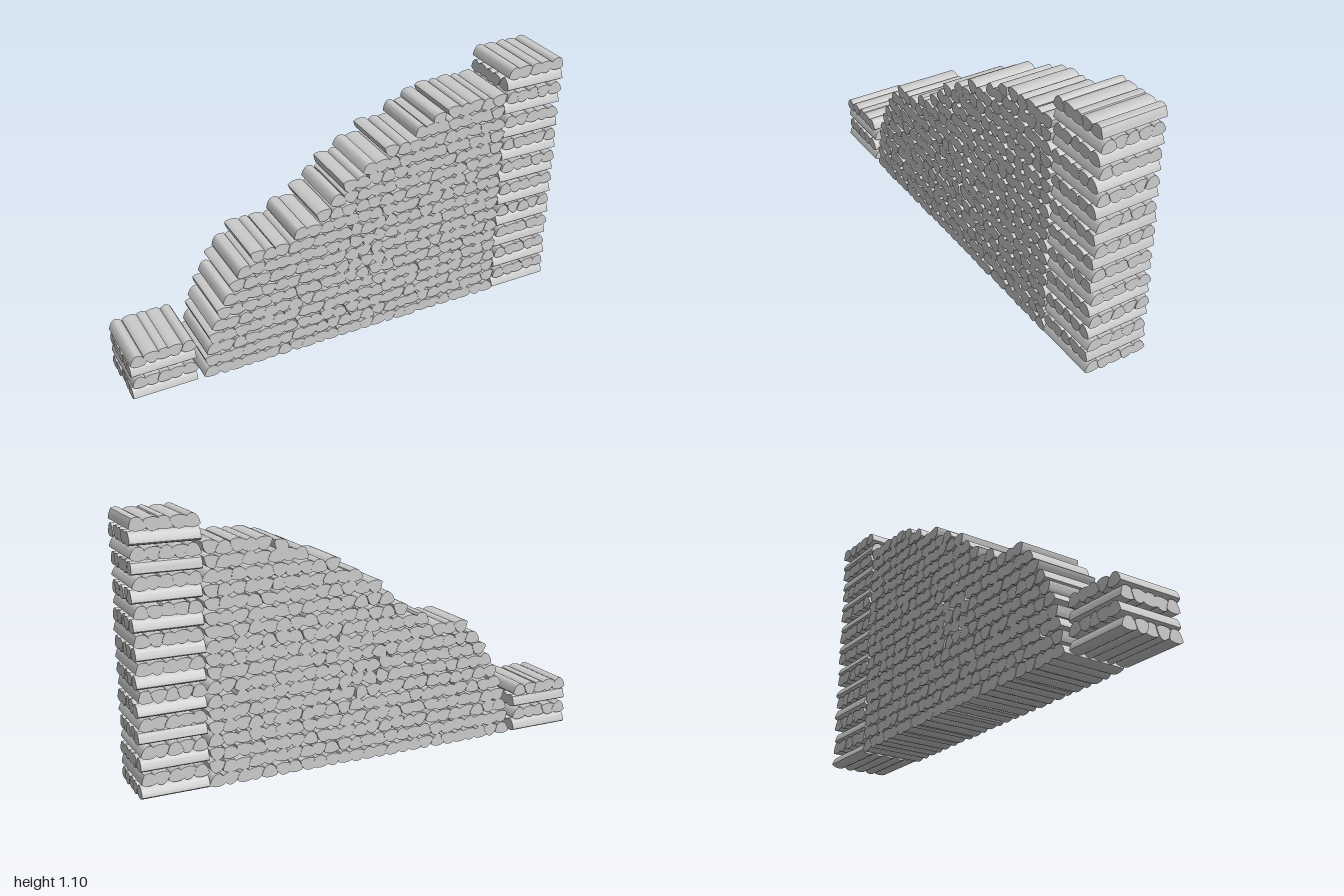
import * as THREE from 'three';
import { toCreasedNormals } from 'three/addons/utils/BufferGeometryUtils.js';

const LOG = 0.275;    // log length
const PITCH = 0.0549; // height of one layer

// small seeded random, -1..1
let seed = 7;
function rnd() {
  seed = (seed * 16807) % 2147483647;
  return (seed / 2147483647) * 2 - 1;
}

// split log: narrow split top, slanted sides, rounded bark underneath (unit section)
function logGeometry(top, lean, bark) {
  const s = new THREE.Shape();
  s.moveTo(-0.5, -0.28);
  s.bezierCurveTo(-0.32, -bark, 0.32, -bark, 0.5, -0.28);
  s.quadraticCurveTo(0.42, 0.2, top + lean, 0.42);
  s.quadraticCurveTo(lean, 0.58, -top + lean, 0.42);
  s.quadraticCurveTo(-0.42, 0.2, -0.5, -0.28);
  const g = new THREE.ExtrudeGeometry(s, { depth: LOG, bevelEnabled: false, curveSegments: 6 });
  g.translate(0, 0, -LOG / 2);
  g.scale(0.069, 0.054, 1);
  return toCreasedNormals(g, 0.6);
}

export function createModel() {
  seed = 7;
  const model = new THREE.Group();
  model.name = 'firewoodStack';
  const material = new THREE.MeshStandardMaterial({ color: 0xcccccc });
  const variants = [
    logGeometry(0.22, 0, 0.56),
    logGeometry(0.26, 0.05, 0.52),
    logGeometry(0.19, -0.05, 0.58),
  ];

  // one log along z; flipped logs have the bark on top
  function addLog(parent, x, y, z, flip, tilt, width = 1) {
    const log = new THREE.Mesh(variants[Math.floor((rnd() + 1) * 1.4999)], material);
    log.name = 'splitLog';
    log.position.set(x, y, z);
    log.rotation.z = (flip ? Math.PI : 0) + tilt;
    log.scale.x = width;
    parent.add(log);
  }

  // end tower of crossed layers
  function addTower(name, x, layers) {
    const tower = new THREE.Group();
    tower.name = name;
    tower.position.x = x;
    for (let i = 0; i < layers; i++) {
      const layer = new THREE.Group();
      layer.name = i % 2 ? 'lengthwiseLayer' : 'crosswiseLayer';
      layer.position.y = 0.029 + i * PITCH;
      if (i % 2 === 0) layer.rotation.y = Math.PI / 2;
      for (let k = 0; k < 5; k++) {
        addLog(layer, (k - 2) * 0.0525 + rnd() * 0.003, rnd() * 0.001, rnd() * 0.003,
          k % 2 === 1, rnd() * 0.05, 0.95 + rnd() * 0.04);
      }
      tower.add(layer);
    }
    model.add(tower);
  }
  addTower('tallTower', 0.847, 20);
  addTower('shortTower', -0.859, 4);

  // sloping left edge of the pile: [height, x]
  const slope = [[0, -0.7], [0.2, -0.67], [0.36, -0.61], [0.5, -0.52], [0.565, -0.45],
    [0.61, -0.25], [0.68, -0.14], [0.78, -0.04], [0.88, 0.14], [0.94, 0.29], [1.0, 0.46]];
  function edgeAt(y) {
    for (let i = 1; i < slope.length; i++) {
      const [y0, x0] = slope[i - 1], [y1, x1] = slope[i];
      if (y <= y1) return x0 + (x1 - x0) * (y - y0) / (y1 - y0);
    }
    return slope[slope.length - 1][1];
  }

  // main pile between the towers
  const pile = new THREE.Group();
  pile.name = 'mainPile';
  for (let row = 0; row < 18; row++) {
    const y = 0.03 + row * PITCH;
    const left = edgeAt(y + 0.026) + 0.03, right = 0.675;
    const n = Math.max(2, Math.round((right - left) / 0.0565));
    for (let k = 0; k <= n; k++) {
      const x = left + (right - left) * k / n;
      // a few logs near the middle have slumped
      const loose = Math.hypot(x - 0.05, y - 0.43) < 0.13;
      addLog(pile, x + rnd() * 0.003, y + (row ? rnd() * 0.003 : 0), rnd() * 0.002,
        (k + row) % 2 === 1, rnd() * (loose ? 1.0 : row ? 0.14 : 0.03), 1 + rnd() * 0.06);
    }
  }
  // loose log standing up on the top edge
  addLog(pile, 0.385, 0.945, 0, false, 1.15);
  model.add(pile);

  return model;
}
